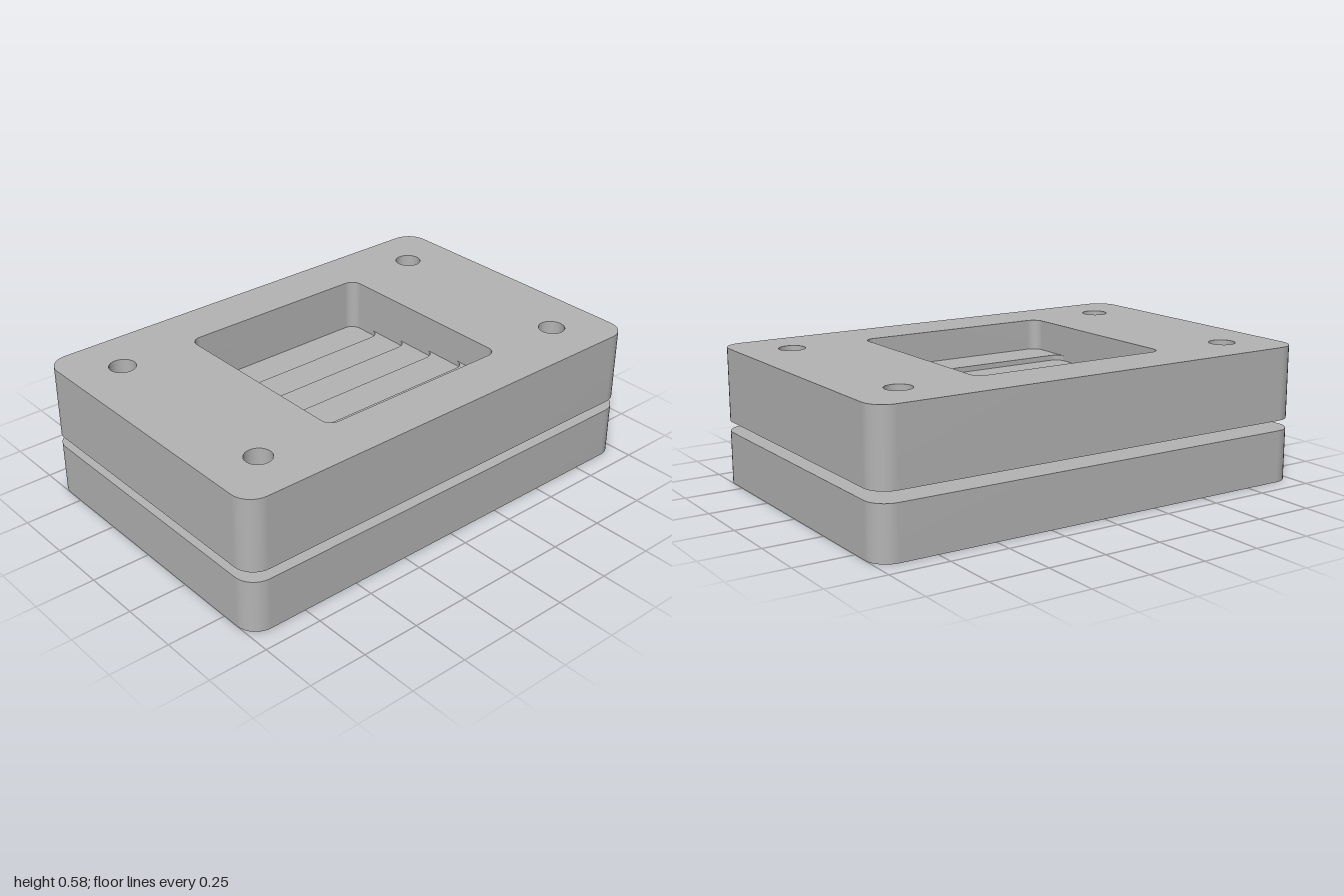
import * as THREE from 'three';
import { mergeGeometries } from 'three/addons/utils/BufferGeometryUtils.js';

// Rounded rectangle outline in the x/z plane; the first two corners form its front edge
const CORNER = 8;
function roundRect(x0, x1, z0, z1, r) {
  const centres = [[x1 - r, z1 - r], [x0 + r, z1 - r], [x0 + r, z0 + r], [x1 - r, z0 + r]];
  const points = [];
  centres.forEach(([cx, cz], quarter) => {
    for (let i = 0; i <= CORNER; i++) {
      const a = (quarter + i / CORNER) * Math.PI / 2;
      points.push(new THREE.Vector2(cx + r * Math.cos(a), cz + r * Math.sin(a)));
    }
  });
  return points;
}

function circle(cx, cz, r, n = 32) {
  return Array.from({ length: n }, (_, i) => {
    const a = i / n * Math.PI * 2;
    return new THREE.Vector2(cx + r * Math.cos(a), cz + r * Math.sin(a));
  });
}

// Flat horizontal face with holes
function face(outline, y, up, holes = []) {
  const shape = new THREE.Shape(outline);
  shape.holes = holes.map(h => new THREE.Path(h));
  const g = new THREE.ShapeGeometry(shape);
  g.deleteAttribute('uv');
  g.rotateX(Math.PI / 2).translate(0, y, 0);
  if (up) {
    g.setIndex(Array.from(g.index.array).reverse());
    g.computeVertexNormals();
  }
  return g;
}

// Closed wall between a lower and an upper outline
function wall(lower, y0, upper, y1, inward = false) {
  const n = lower.length, pos = [], index = [];
  lower.forEach(p => pos.push(p.x, y0, p.y));
  upper.forEach(p => pos.push(p.x, y1, p.y));
  for (let i = 0; i < n; i++) {
    const j = (i + 1) % n;
    index.push(i, n + i, j, j, n + i, n + j);
  }
  if (inward) index.reverse();
  const g = new THREE.BufferGeometry();
  g.setAttribute('position', new THREE.Float32BufferAttribute(pos, 3));
  g.setIndex(index);
  g.computeVertexNormals();
  return g;
}

export function createModel() {
  const model = new THREE.Group();
  const grey = new THREE.MeshStandardMaterial({ color: 0xb4b4b4 });
  grey.name = 'grey metal';

  const add = (parent, name, ...parts) => {
    const mesh = new THREE.Mesh(mergeGeometries(parts), grey);
    mesh.name = name;
    parent.add(mesh);
  };

  const outline = roundRect(-1, 1, -0.667, 0.667, 0.09);
  const padOutline = roundRect(-0.622, 0.622, -0.533, 0.533, 0.09);
  const bolts = [[-1, -1], [1, -1], [-1, 1], [1, 1]].map(([sx, sz]) => [sx * 0.778, sz * 0.444]);
  const boltRings = r => bolts.map(([x, z]) => circle(x, z, r));

  // Lower plate: underside pocket, countersunk bolt holes and a small port
  const lower = new THREE.Group();
  lower.name = 'lowerPlate';
  model.add(lower);
  const h = 0.224, pad = 0.005, pocketTop = 0.133, sinkTop = 0.067;
  const wide = boltRings(0.153), narrow = boltRings(0.06);
  const pocket = roundRect(-0.489, 0.489, -0.489, 0.489, 0.06);
  const port = circle(-0.536, 0, 0.032, 20);
  add(lower, 'lowerBody',
    face(outline, 0, false, [...wide, pocket, port]),
    wall(outline, 0, outline, h),
    face(outline, h, true, [...narrow, padOutline]));
  add(lower, 'lowerPad', wall(padOutline, h, padOutline, h + pad), face(padOutline, h + pad, true, [port]));
  add(lower, 'undersidePocket', wall(pocket, 0, pocket, pocketTop, true), face(pocket, pocketTop, false));
  add(lower, 'port', wall(port, 0, port, h + pad, true));
  bolts.forEach((_, i) => add(lower, 'countersunkHole',
    wall(wide[i], 0, narrow[i], sinkTop, true),
    wall(narrow[i], sinkTop, narrow[i], h, true)));

  // Upper plate: plain bolt holes and a pad on its underside
  const upper = new THREE.Group();
  upper.name = 'upperPlate';
  model.add(upper);
  const y0 = 0.268, y1 = 0.579;
  const holes = boltRings(0.0556);
  const levels = Array.from({ length: 5 }, (_, k) => ({
    edge: roundRect(-0.445, 0.445, -0.445, 0.445 - k * 0.178, 0.045),
    y: y1 - 0.133 - k * 0.0222,
  }));
  add(upper, 'upperBody',
    face(outline, y0, false, [...holes, padOutline]),
    wall(outline, y0, outline, y1),
    face(outline, y1, true, [...holes, levels[0].edge]));
  add(upper, 'upperPad', wall(padOutline, y0 - pad, padOutline, y0), face(padOutline, y0 - pad, false));
  holes.forEach(ring => add(upper, 'boltHole', wall(ring, y0, ring, y1, true)));

  // Stepped pocket, each level deeper and shorter towards the back
  const front = edge => edge.slice(0, 2 * (CORNER + 1));
  levels.forEach(({ edge, y }, k) => {
    const above = k ? levels[k - 1].y : y1;
    const next = levels[k + 1];
    const tread = next ? [...front(edge), ...front(next.edge).reverse()] : edge;
    add(upper, 'pocketStep', wall(edge, y, edge, above, true), face(tread, y, true));
  });

  return model;
}
